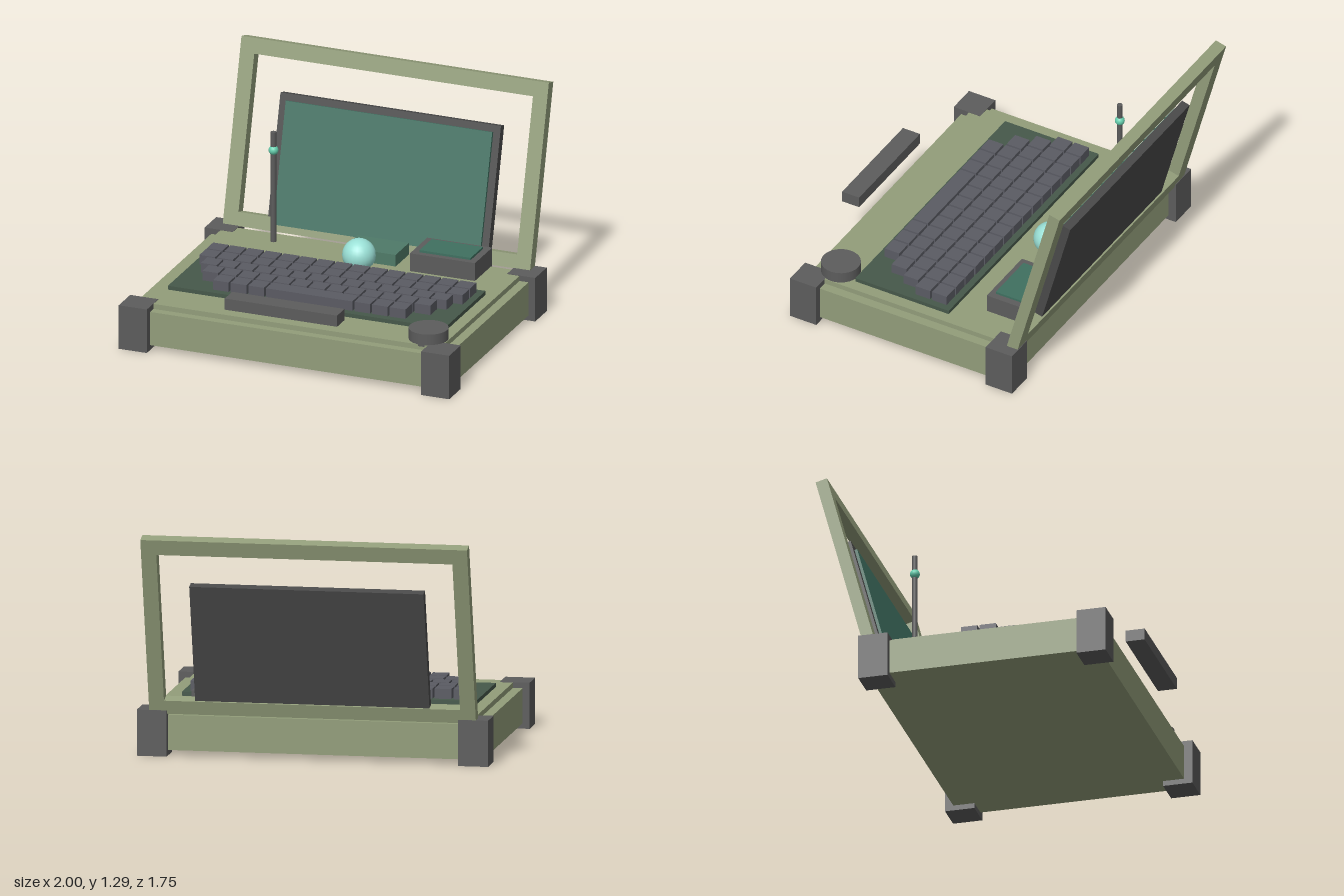
import * as THREE from 'three';

const paint = (color) => new THREE.MeshStandardMaterial({ color });
const OLIVE = paint(0x929d7a);
const DARK = paint(0x5c5c5c);
const HOUSING = paint(0x4a4a4a);
const KEY = paint(0x5a5b63);
const PLATE = paint(0x46584a);
const SCREEN = paint(0x3f7060);
const TEAL = paint(0x9ae0d6);
const MINT = paint(0x66cfae);

function add(parent, name, geometry, material, x = 0, y = 0, z = 0) {
  const mesh = new THREE.Mesh(geometry, material);
  mesh.name = name;
  mesh.position.set(x, y, z);
  parent.add(mesh);
  return mesh;
}

// Box given by its extents along each axis
function block(parent, name, material, [x0, x1], [y0, y1], [z0, z1]) {
  return add(parent, name, new THREE.BoxGeometry(x1 - x0, y1 - y0, z1 - z0), material,
    (x0 + x1) / 2, (y0 + y1) / 2, (z0 + z1) / 2);
}

function rectangle(Path, x0, x1, y0, y1) {
  return new Path([[x0, y0], [x1, y0], [x1, y1], [x0, y1]].map((p) => new THREE.Vector2(...p)));
}

function createBase() {
  const base = new THREE.Group();
  base.name = 'base';
  block(base, 'body', OLIVE, [-0.96, 0.96], [0.03, 0.23], [-0.56, 0.78]);
  block(base, 'deck', OLIVE, [-0.905, 0.905], [0.22, 0.26], [-0.51, 0.73]);
  // Bumper at each corner
  for (const x of [-0.915, 0.915]) {
    for (const z of [-0.523, 0.743]) {
      add(base, 'cornerBumper', new THREE.BoxGeometry(0.17, 0.262, 0.17), DARK, x, 0.131, z);
    }
  }
  return base;
}

function createKeyboard() {
  const keyboard = new THREE.Group();
  keyboard.name = 'keyboard';
  block(keyboard, 'keyPlate', PLATE, [-0.837, 0.837], [0.25, 0.283], [-0.105, 0.5]);
  // Each row lists its key widths in units
  const ones = (n) => Array(n).fill(1);
  const rows = [ones(15), ones(15), ones(14), ones(13), [1, 1, 1, 5, 1, 1, 1]];
  const pitch = 0.107;
  rows.forEach((row, r) => {
    let x = -row.reduce((a, b) => a + b, 0) * pitch / 2;
    for (const units of row) {
      const width = units * pitch;
      add(keyboard, units > 1 ? 'spaceBar' : 'key', new THREE.BoxGeometry(width - 0.012, 0.06, 0.094),
        KEY, x + width / 2, 0.31, -0.02 + r * 0.1075);
      x += width;
    }
  });
  return keyboard;
}

// Leaning lid: built upright with its front face on z = 0, then tilted back
function createLid() {
  const lid = new THREE.Group();
  lid.name = 'lid';
  const outline = rectangle(THREE.Shape, -0.93, 0.93, 0, 1.067);
  outline.holes.push(rectangle(THREE.Path, -0.843, 0.843, 0.08, 0.978));
  const frame = new THREE.ExtrudeGeometry(outline, { depth: 0.068, bevelEnabled: false });
  add(lid, 'lidFrame', frame, OLIVE, 0, 0, -0.068);
  block(lid, 'screenHousing', HOUSING, [-0.667, 0.667], [0.003, 0.783], [-0.058, -0.008]);
  block(lid, 'screen', SCREEN, [-0.625, 0.625], [0.04, 0.743], [-0.012, 0.008]);
  lid.position.set(0, 0.26, -0.533);
  lid.rotation.x = -Math.PI / 12;
  return lid;
}

function createDeckParts() {
  const parts = new THREE.Group();
  parts.name = 'deckParts';
  // Side display pod
  block(parts, 'displayPod', DARK, [0.31, 0.703], [0.25, 0.367], [-0.528, -0.273]);
  block(parts, 'podScreen', SCREEN, [0.353, 0.663], [0.36, 0.38], [-0.488, -0.308]);
  // Trackball and the module behind it
  block(parts, 'rearModule', paint(0x4f7a68), [-0.1, 0.21], [0.25, 0.33], [-0.5, -0.305]);
  add(parts, 'trackball', new THREE.SphereGeometry(0.095, 24, 16), TEAL, 0, 0.31, -0.277);
  // Antenna
  add(parts, 'antennaRod', new THREE.CylinderGeometry(0.016, 0.016, 0.67, 12), DARK, -0.567, 0.585, -0.398);
  add(parts, 'antennaBead', new THREE.SphereGeometry(0.028, 16, 12), MINT, -0.567, 0.81, -0.398);
  // Dial and front handle
  add(parts, 'dial', new THREE.CylinderGeometry(0.112, 0.112, 0.075, 32), DARK, 0.79, 0.2875, 0.62);
  block(parts, 'frontHandle', DARK, [-0.34, 0.34], [0.353, 0.42], [0.763, 0.873]);
  return parts;
}

export function createModel() {
  const model = new THREE.Group();
  model.name = 'portableComputer';
  model.add(createBase(), createKeyboard(), createLid(), createDeckParts());
  return model;
}
